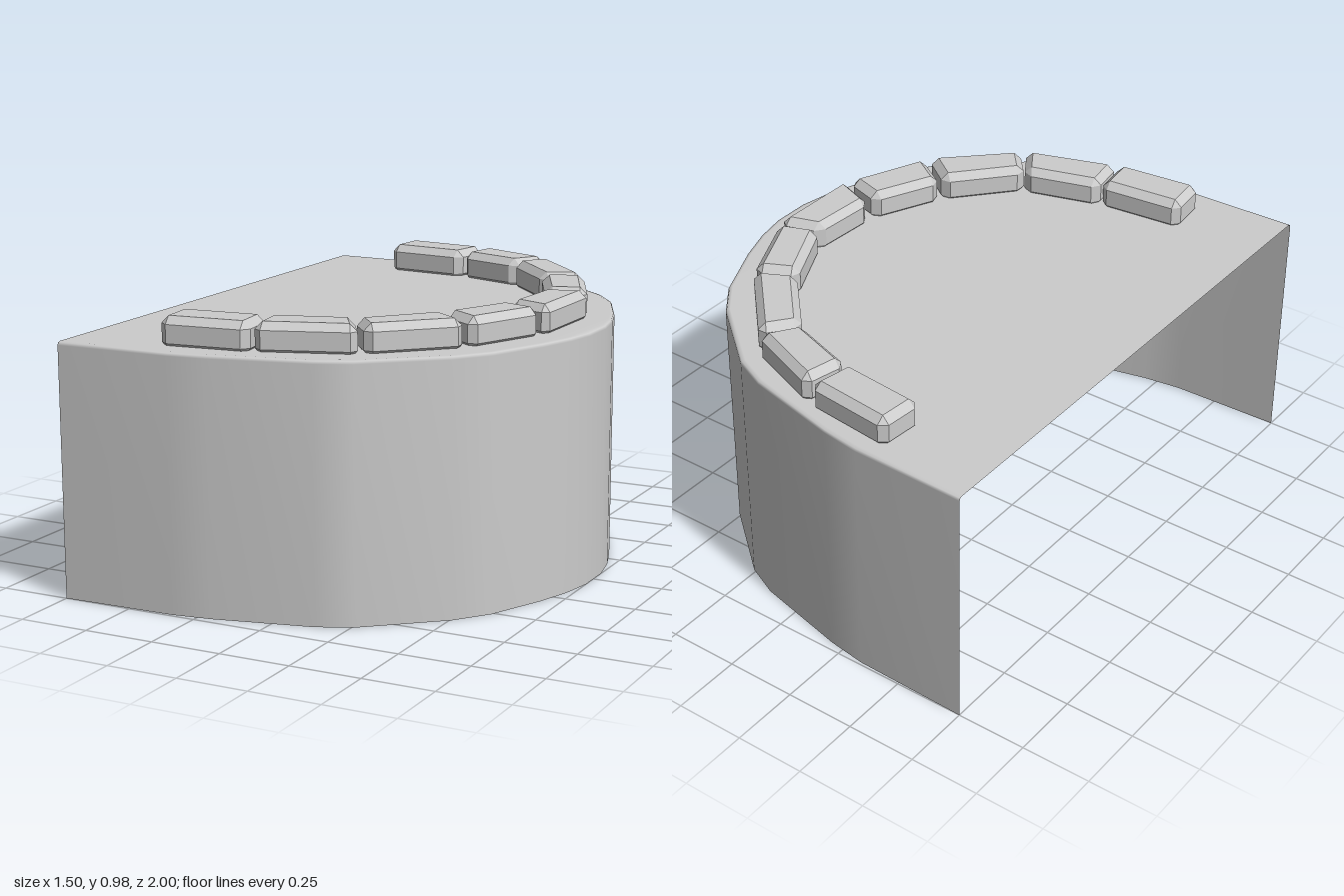
import * as THREE from 'three';
import { ConvexGeometry } from 'three/addons/geometries/ConvexGeometry.js';

// Half of the curved plan, [x, z], from the open back edge to the nose
const HALF = [
  [-0.75, -1], [-0.34, -0.99], [-0.2, -0.97], [0.14, -0.89], [0.26, -0.835],
  [0.507, -0.628], [0.596, -0.512], [0.686, -0.31], [0.728, -0.185], [0.75, -0.07],
];
const PLAN = [...HALF, ...HALF.map(([x, z]) => [x, -z]).reverse()];

// Plan corners of each block: outer start, outer end, inner end, inner start
const BLOCKS = [
  [[-0.41, -0.934], [-0.085, -0.897], [-0.115, -0.733], [-0.425, -0.765]],
  [[-0.065, -0.892], [0.232, -0.775], [0.148, -0.65], [-0.1, -0.733]],
  [[0.243, -0.76], [0.495, -0.492], [0.36, -0.422], [0.153, -0.645]],
  [[0.501, -0.48], [0.628, -0.2], [0.49, -0.148], [0.364, -0.412]],
  [[0.64, -0.185], [0.635, 0.174], [0.475, 0.112], [0.49, -0.137]],
  [[0.623, 0.19], [0.501, 0.475], [0.36, 0.382], [0.47, 0.143]],
  [[0.49, 0.496], [0.248, 0.733], [0.153, 0.623], [0.353, 0.396]],
  [[0.232, 0.75], [-0.095, 0.86], [-0.121, 0.697], [0.148, 0.617]],
  [[-0.105, 0.871], [-0.42, 0.905], [-0.438, 0.733], [-0.127, 0.702]],
];

// Thin shell: curved wall, narrow rounded rim and flat top; open behind and below
function shellGeometry() {
  const n = PLAN.length;
  const rings = [[0, 0], [0.868, 0], [0.877, 0.004], [0.88, 0.015]]; // height, inset
  const pos = [];
  const index = [];
  for (const [y, inset] of rings) {
    for (const [x, z] of PLAN) {
      pos.push(-0.75 + (x + 0.75) * (1 - inset / 1.5), y, z * (1 - inset));
    }
  }
  for (let r = 0; r < rings.length - 1; r++) {
    for (let i = 0; i < n - 1; i++) {
      const a = r * n + i;
      index.push(a, a + n, a + n + 1, a, a + n + 1, a + 1);
    }
  }
  const top = (rings.length - 1) * n;
  for (let i = 0; i < n / 2 - 1; i++) {
    const a = top + i, b = top + n - 1 - i;
    index.push(a, b, a + 1);
    if (i < n / 2 - 1) index.push(a + 1, b, b - 1);
  }
  const g = new THREE.BufferGeometry();
  g.setAttribute('position', new THREE.Float32BufferAttribute(pos, 3));
  g.setIndex(index);
  g.computeVertexNormals();
  return g;
}

// Block with every edge chamfered, from four plan corners
function blockGeometry(corners) {
  const low = 0.862, high = 0.977, bevel = 0.026;
  const pts = corners.map(([x, z]) => new THREE.Vector3(x, 0, z));
  const out = [];
  pts.forEach((p, i) => {
    const next = pts[(i + 1) % 4].clone().sub(p).setLength(bevel);
    const prev = pts[(i + 3) % 4].clone().sub(p).setLength(bevel);
    const at = (y, ...offsets) => {
      const v = p.clone();
      offsets.forEach((o) => v.add(o));
      v.y = y;
      out.push(v);
    };
    at(low, next, prev);
    at(high, next, prev);
    for (const y of [low + bevel, high - bevel]) {
      at(y, next);
      at(y, prev);
    }
  });
  return new ConvexGeometry(out);
}

export function createModel() {
  const model = new THREE.Group();
  model.name = 'curvedPlatform';

  const shell = new THREE.Mesh(shellGeometry(),
    new THREE.MeshStandardMaterial({ color: 0xcccccc, side: THREE.DoubleSide }));
  shell.name = 'platformShell';
  model.add(shell);

  // Row of blocks following the curved edge
  const row = new THREE.Group();
  row.name = 'blockRow';
  const stone = new THREE.MeshStandardMaterial({ color: 0xcccccc, flatShading: true });
  BLOCKS.forEach((corners, i) => {
    const block = new THREE.Mesh(blockGeometry(corners), stone);
    block.name = `block${i + 1}`;
    row.add(block);
  });
  model.add(row);
  return model;
}
